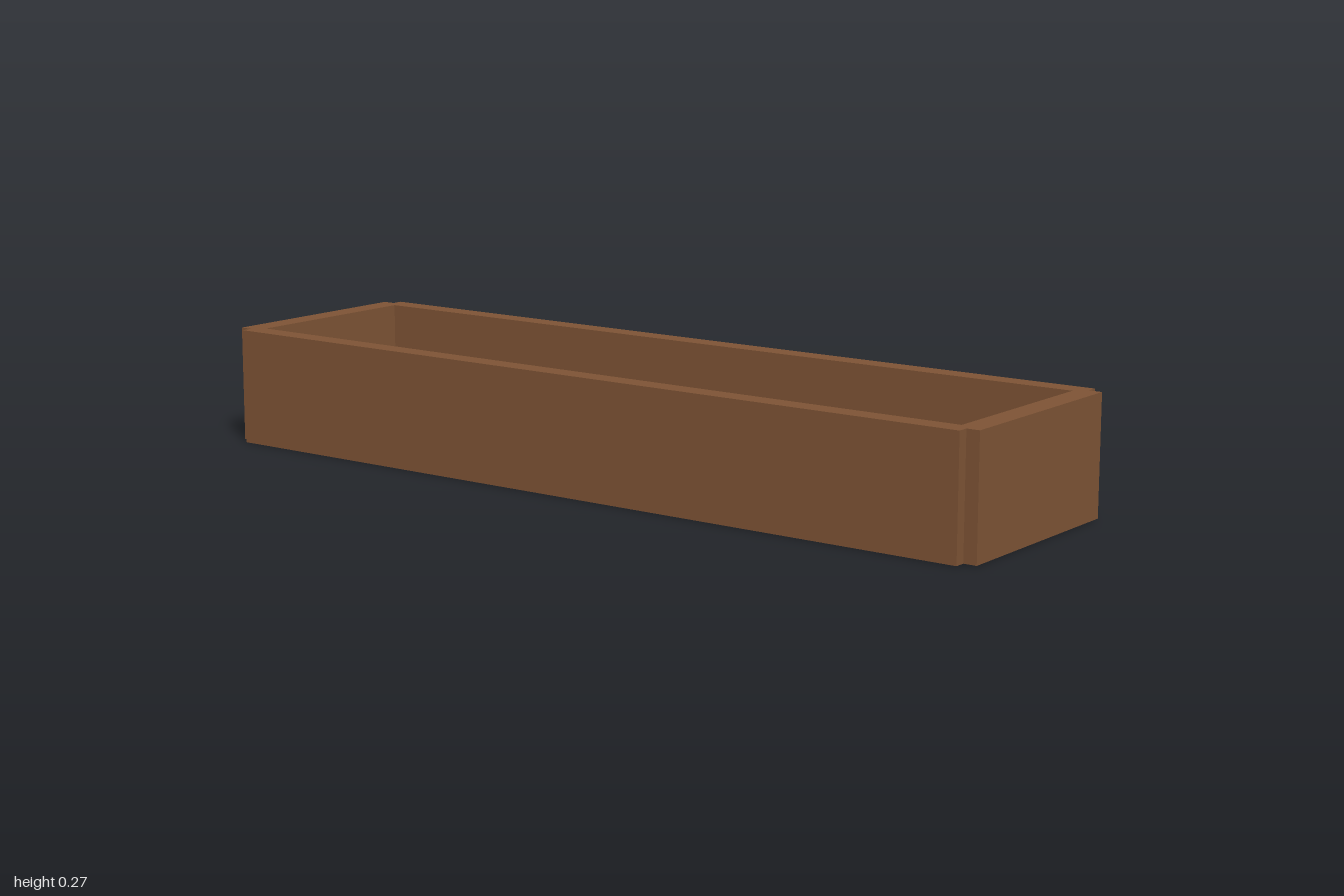
import * as THREE from 'three';

const mat = (name, color) => {
  const m = new THREE.MeshStandardMaterial({ color });
  m.name = name;
  return m;
};

// body profile: distance from nose, radius
const PROFILE = [[0, 0], [0.006, 0.012], [0.03, 0.024], [0.07, 0.036], [0.13, 0.047],
  [0.2, 0.052], [0.27, 0.049], [0.34, 0.036], [0.4, 0.022], [0.437, 0.013], [0.44, 0]];

function radiusAt(x) {
  for (let i = 1; i < PROFILE.length; i++) {
    const [x0, r0] = PROFILE[i - 1], [x1, r1] = PROFILE[i];
    if (x <= x1) return r0 + (r1 - r0) * (x - x0) / (x1 - x0);
  }
  return 0;
}

// thin upright plate in the x-y plane
function plate(points, thickness) {
  const shape = new THREE.Shape(points.map(([x, y]) => new THREE.Vector2(x, y)));
  const g = new THREE.ExtrudeGeometry(shape, { depth: thickness, bevelEnabled: false });
  return g.translate(0, 0, -thickness / 2);
}

export function createModel() {
  const model = new THREE.Group();
  model.name = 'fishCrate';
  const wood = mat('brown wood', 0x7d5335);
  const skin = mat('blue fish skin', 0x4b6e8e);
  const finBlue = mat('dark blue fin', 0x40607f);
  const dark = mat('dark spot', 0x24323f);
  const ballBrown = mat('brown ball', 0x80542f);

  const add = (parent, name, geometry, material, x = 0, y = 0, z = 0) => {
    const m = new THREE.Mesh(geometry, material);
    m.name = name;
    m.position.set(x, y, z);
    parent.add(m);
    return m;
  };

  // crate: long walls stand proud of the end walls at the corners
  const H = 0.268, midZ = 0.0155;
  const crate = new THREE.Group();
  crate.name = 'crate';
  model.add(crate);
  add(crate, 'floor', new THREE.BoxGeometry(1.9, 0.05, 0.46), wood, 0, 0.025, midZ);
  for (const s of [-1, 1]) {
    add(crate, 'longWall', new THREE.BoxGeometry(1.94, H, 0.05), wood, 0, H / 2, midZ + s * 0.248);
    add(crate, 'endWall', new THREE.BoxGeometry(0.055, H, 0.495), wood, s * 0.9725, H / 2, midZ);
  }

  // shared fish geometry, nose at the origin and tail along +x
  const bodyGeo = new THREE.LatheGeometry(PROFILE.map(([x, r]) => new THREE.Vector2(r, x)), 16);
  bodyGeo.rotateZ(-Math.PI / 2).scale(1, 0.92, 1);
  const tailGeo = plate([[0.43, -0.007], [0.53, -0.047], [0.508, 0], [0.53, 0.047], [0.43, 0.007]], 0.014);
  const finGeo = plate([[0.235, 0.035], [0.325, 0.03], [0.325, 0.053], [0.275, 0.088], [0.235, 0.045]], 0.012);
  const eyeGeo = new THREE.SphereGeometry(0.007, 8, 6);
  const spotGeo = new THREE.SphereGeometry(0.004, 6, 4);
  const spots = [[0.1, 0.7], [0.15, -0.75], [0.19, 0.85], [0.28, -0.7], [0.33, 0.6], [0.37, -0.5]];

  function addFish(nx, nz, tx, tz, y) {
    const fish = new THREE.Group();
    fish.name = 'fish';
    fish.position.set(nx, y, nz);
    fish.rotation.y = Math.atan2(nz - tz, tx - nx);
    model.add(fish);
    add(fish, 'body', bodyGeo, skin);
    add(fish, 'tailFin', tailGeo, finBlue);
    add(fish, 'dorsalFin', finGeo, finBlue);
    for (const s of [-1, 1]) add(fish, 'eye', eyeGeo, dark, 0.035, 0.012, s * 0.021);
    for (const [x, a] of spots) {
      const r = radiusAt(x);
      add(fish, 'spot', spotGeo, dark, x, 0.92 * r * Math.cos(a), r * Math.sin(a));
    }
  }

  // nose x, nose z, tail x, tail z, height
  [[-0.86, 0.0, -0.35, -0.15, 0.102], [-0.87, 0.105, -0.34, 0.105, 0.102],
    [-0.22, 0.07, 0.21, -0.21, 0.102], [-0.255, 0.18, 0.255, 0.03, 0.102],
    [-0.26, 0.0, 0.27, 0.0, 0.09], [0.44, 0.125, 0.77, -0.283, 0.102],
    [0.39, 0.23, 0.82, -0.045, 0.102]].forEach((f) => addFish(...f));

  // small balls lying among the middle fish
  const ballGeo = new THREE.SphereGeometry(0.022, 12, 8);
  for (const [x, z] of [[-0.19, -0.035], [-0.155, -0.036], [0.13, 0.0], [-0.02, 0.012]]) {
    add(model, 'ball', ballGeo, ballBrown, x, 0.1, z);
  }
  return model;
}
